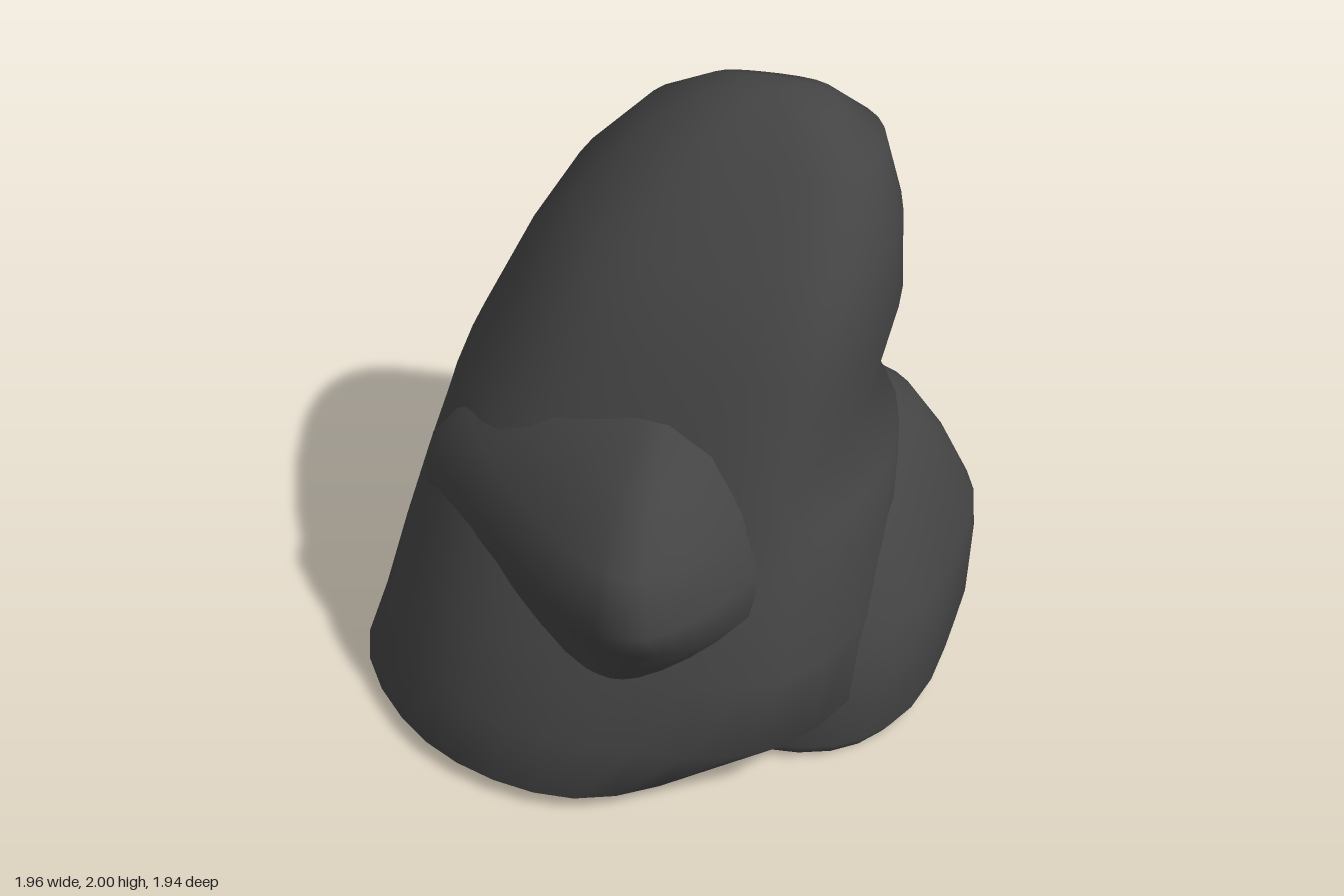
import * as THREE from 'three';

const stone = new THREE.MeshStandardMaterial({ color: 0x444444 });
stone.name = 'darkStone';

const N = 32; // points round each ring

// Fit a plan outline (in -1..1) to the extents of each level [y, left, right, back, front, tuck],
// then skin the rings with smooth sides, a closed top and a flat bottom.
// The outline changes from foot to head over the first 1.1 units of height.
// Tuck draws in the front right corner, which is the second outline point.
function loft(name, levels, foot, head = foot) {
  const pos = [], idx = [];
  for (const [y, x0, x1, z0, z1, tuck = 1] of levels) {
    const t = Math.min(y / 1.1, 1);
    const pts = foot.map(([u, v], i) => {
      const k = i === 1 ? tuck : 1;
      const s = k * THREE.MathUtils.lerp(u, head[i][0], t);
      const r = k * THREE.MathUtils.lerp(v, head[i][1], t);
      return new THREE.Vector3((x0 + x1 + s * (x1 - x0)) / 2, y, (z0 + z1 + r * (z1 - z0)) / 2);
    });
    const curve = new THREE.CatmullRomCurve3(pts, true, 'centripetal');
    for (let j = 0; j < N; j++) pos.push(...curve.getPoint(j / N).toArray());
  }
  const addCentre = ([y, x0, x1, z0, z1]) => pos.push((x0 + x1) / 2, y, (z0 + z1) / 2);

  // Sides
  const last = (levels.length - 1) * N;
  for (let a = 0; a < last; a += N) {
    for (let j = 0; j < N; j++) {
      const p = a + j, q = a + (j + 1) % N;
      idx.push(p, p + N, q, q, p + N, q + N);
    }
  }
  // Rounded top
  const apex = pos.length / 3;
  addCentre(levels[levels.length - 1]);
  for (let j = 0; j < N; j++) idx.push(last + j, apex, last + (j + 1) % N);
  // Flat underside on its own vertices, so the rim stays sharp
  const base = pos.length / 3;
  pos.push(...pos.slice(0, N * 3));
  addCentre(levels[0]);
  for (let j = 0; j < N; j++) idx.push(base + j, base + (j + 1) % N, base + N);

  const g = new THREE.BufferGeometry();
  g.setAttribute('position', new THREE.Float32BufferAttribute(pos, 3));
  g.setIndex(idx);
  g.computeVertexNormals();
  const mesh = new THREE.Mesh(g, stone);
  mesh.name = name;
  return mesh;
}

export function createModel() {
  const group = new THREE.Group();
  group.name = 'rock';

  // Tall column leaning to the back right, undercut at its front right foot, squarer higher up
  group.add(loft('mainColumn',
    [
      [0, -0.95, 0.72, -0.68, 0.79, 0.75],
      [0.06, -0.97, 0.77, -0.7, 0.87, 0.78],
      [0.25, -0.91, 0.77, -0.7, 0.83],
      [0.52, -0.84, 0.77, -0.69, 0.78],
      [0.75, -0.78, 0.76, -0.68, 0.63],
      [0.95, -0.72, 0.75, -0.67, 0.54],
      [1.08, -0.67, 0.65, -0.67, 0.48],
      [1.4, -0.51, 0.72, -0.72, 0.36],
      [1.65, -0.36, 0.7, -0.67, 0.17],
      [1.87, -0.15, 0.63, -0.58, -0.06],
      [1.97, 0.04, 0.47, -0.5, -0.22],
      [2, 0.16, 0.35, -0.43, -0.31],
    ],
    [[1, 0.05], [0.72, 0.78], [0, 1], [-0.6, 0.82], [-1, 0.2], [-0.72, -0.62], [-0.25, -1], [0.6, -0.85]],
    [[1, 0.08], [0.7, 0.95], [0, 1], [-0.68, 0.72], [-1, 0.05], [-0.9, -0.78], [-0.2, -1], [0.77, -0.76]]));

  // Broad low hump wrapping round the right and back
  group.add(loft('backHump',
    [
      [0, -0.38, 0.92, -0.92, 0.45],
      [0.07, -0.43, 0.96, -0.97, 0.5],
      [0.28, -0.44, 0.97, -0.91, 0.48],
      [0.45, -0.42, 0.96, -0.86, 0.43],
      [0.67, -0.32, 0.86, -0.78, 0.33],
      [0.81, -0.2, 0.77, -0.71, 0.24],
      [0.92, 0, 0.62, -0.57, 0.1],
      [0.98, 0.16, 0.44, -0.4, -0.05],
    ],
    [[0.89, 0.63], [0.63, 0.93], [0.2, 1], [-0.38, 0.73], [-0.94, 0.05], [-1, -0.59], [-0.52, -0.93],
      [-0.04, -1], [0.48, -0.9], [0.79, -0.77], [1, -0.47], [1, 0.05]]));

  // Overhanging lump at the front
  group.add(loft('frontLump',
    [
      [0.45, -0.8, 0.3, 0.1, 0.74],
      [0.6, -0.79, 0.4, 0.1, 0.81],
      [0.72, -0.77, 0.46, 0.1, 0.88],
      [0.86, -0.74, 0.43, 0.1, 0.96],
      [1.02, -0.62, 0.36, 0.12, 0.88],
      [1.18, -0.37, 0.26, 0.15, 0.7],
      [1.25, -0.1, 0.14, 0.25, 0.45],
    ],
    [[1, -0.42], [0.9, 0.42], [0.54, 1], [0.26, 0.98], [-0.42, 0.16], [-1, -0.95], [-0.77, -1.2], [0.28, -1]]));

  return group;
}
